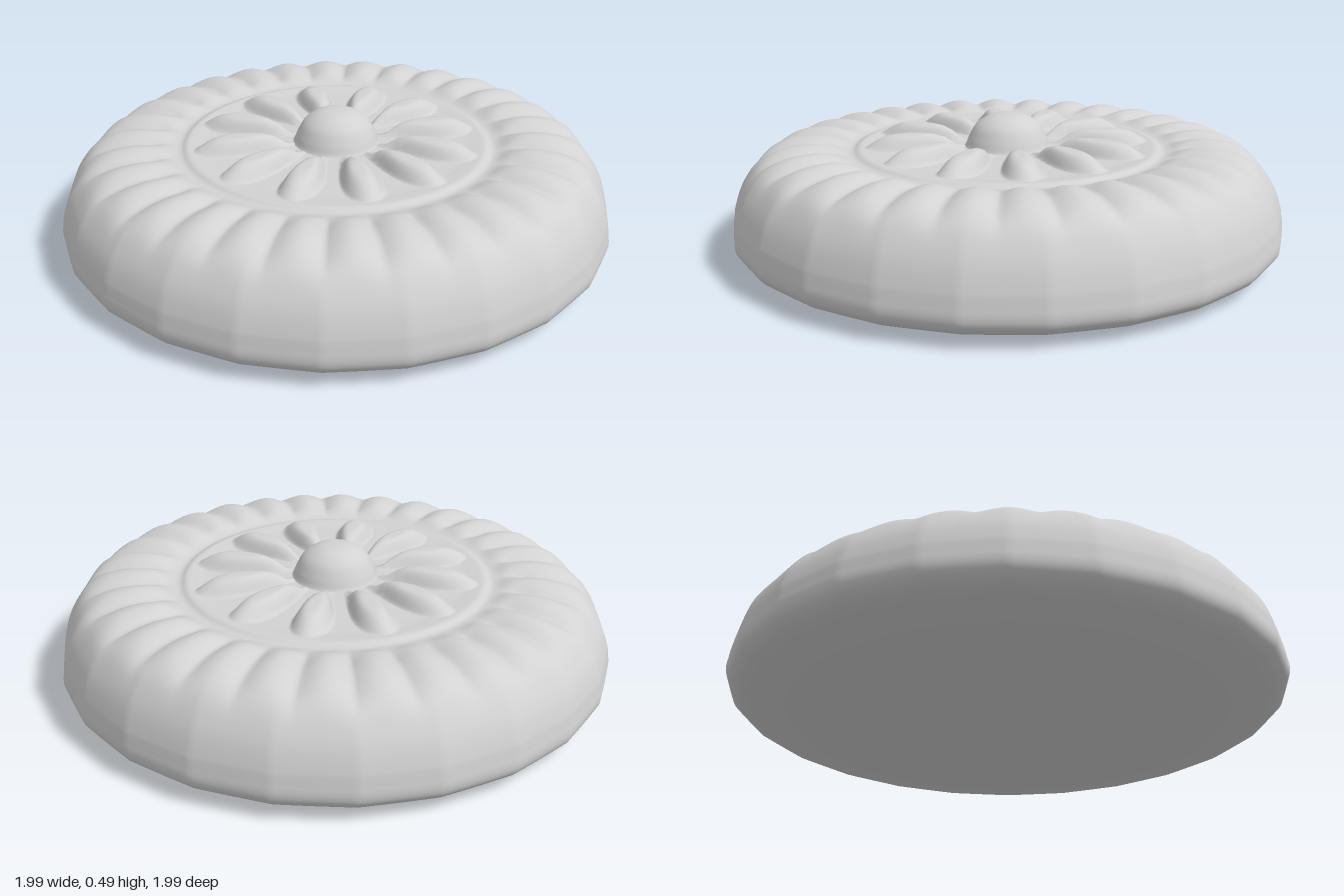
import * as THREE from 'three';
import { mergeVertices } from 'three/addons/utils/BufferGeometryUtils.js';

const stone = new THREE.MeshStandardMaterial({ color: 0xd2d2d2 });
stone.name = 'pale grey';

const smooth = THREE.MathUtils.smoothstep;

// Turned shape from a spline profile (bottom to top), bent by a rule, with its seam welded
function turned(profile, steps, sides, bend) {
  const points = new THREE.SplineCurve(profile.map(([r, y]) => new THREE.Vector2(r, y))).getPoints(steps);
  points.forEach((p) => { p.x = Math.max(p.x, 0); });
  const geometry = new THREE.LatheGeometry(points, sides);
  if (bend) bend(geometry.attributes.position);
  geometry.deleteAttribute('uv');
  geometry.deleteAttribute('normal');
  const welded = mergeVertices(geometry, 1e-5);
  welded.computeVertexNormals();
  return welded;
}

// Angle measured from the middle of its sector, for n equal sectors
function fromMiddle(angle, n) {
  const sector = (2 * Math.PI) / n;
  return angle - (Math.floor(angle / sector) + 0.5) * sector;
}

// Height of the twelve teardrop petals, narrow towards the centre, with soft feet
function petalLift(r, angle) {
  const along = (r - 0.345) / 0.17;
  const across = (r * Math.sin(fromMiddle(angle, 12))) / (0.085 * (0.74 + 0.3 * along));
  const inside = Math.max(0, 1 - along * along - across * across);
  return 0.064 * smooth(inside, -0.35, 0.95);
}

// Rounded flutes of the border, thirty around, with a slight uneven lean
function borderLift(r, y, angle) {
  const border = smooth(r, 0.57, 0.68) * smooth(y, 0.15, 0.33);
  const flute = 0.026 * (Math.abs(Math.cos(angle * 15)) - 0.62) * (1 - smooth(r, 0.8, 0.96));
  return border * (flute + 0.01 * r * Math.cos(angle));
}

// Round body: flat underside, 24-sided wall, fluted border, petalled centre
const bodyProfile = [
  [0, 0], [0.5, 0.002], [0.78, 0.007], [0.905, 0.023], [0.972, 0.054], [0.994, 0.105],
  [0.972, 0.2], [0.938, 0.27], [0.89, 0.325], [0.82, 0.359], [0.73, 0.375], [0.64, 0.37],
  [0.585, 0.355], [0.56, 0.353], [0.535, 0.362], [0.5, 0.36], [0.45, 0.356], [0.3, 0.356], [0, 0.36],
];

function shapeBody(pos) {
  for (let i = 0; i < pos.count; i++) {
    const x = pos.getX(i), y = pos.getY(i), z = pos.getZ(i);
    const r = Math.hypot(x, z), angle = Math.atan2(z, x);
    const facet = Math.cos(Math.PI / 24) / Math.cos(fromMiddle(angle, 24));
    const scale = THREE.MathUtils.lerp(1, facet, 0.85 * smooth(r, 0.75, 0.95));
    const lift = y > 0.15 ? petalLift(r, angle) + borderLift(r, y, angle) : 0;
    pos.setXYZ(i, x * scale, y + lift, z * scale);
  }
}

// Domed centre with a soft flare at its foot
const buttonProfile = [
  [0.19, 0.352], [0.157, 0.368], [0.14, 0.405], [0.112, 0.45], [0.06, 0.481], [0, 0.488],
];

export function createModel() {
  const group = new THREE.Group();
  group.name = 'rosetteMedallion';

  const body = new THREE.Mesh(turned(bodyProfile, 144, 384, shapeBody), stone);
  body.name = 'petalledBody';

  const button = new THREE.Mesh(turned(buttonProfile, 24, 48), stone);
  button.name = 'centreButton';

  group.add(body, button);
  return group;
}
